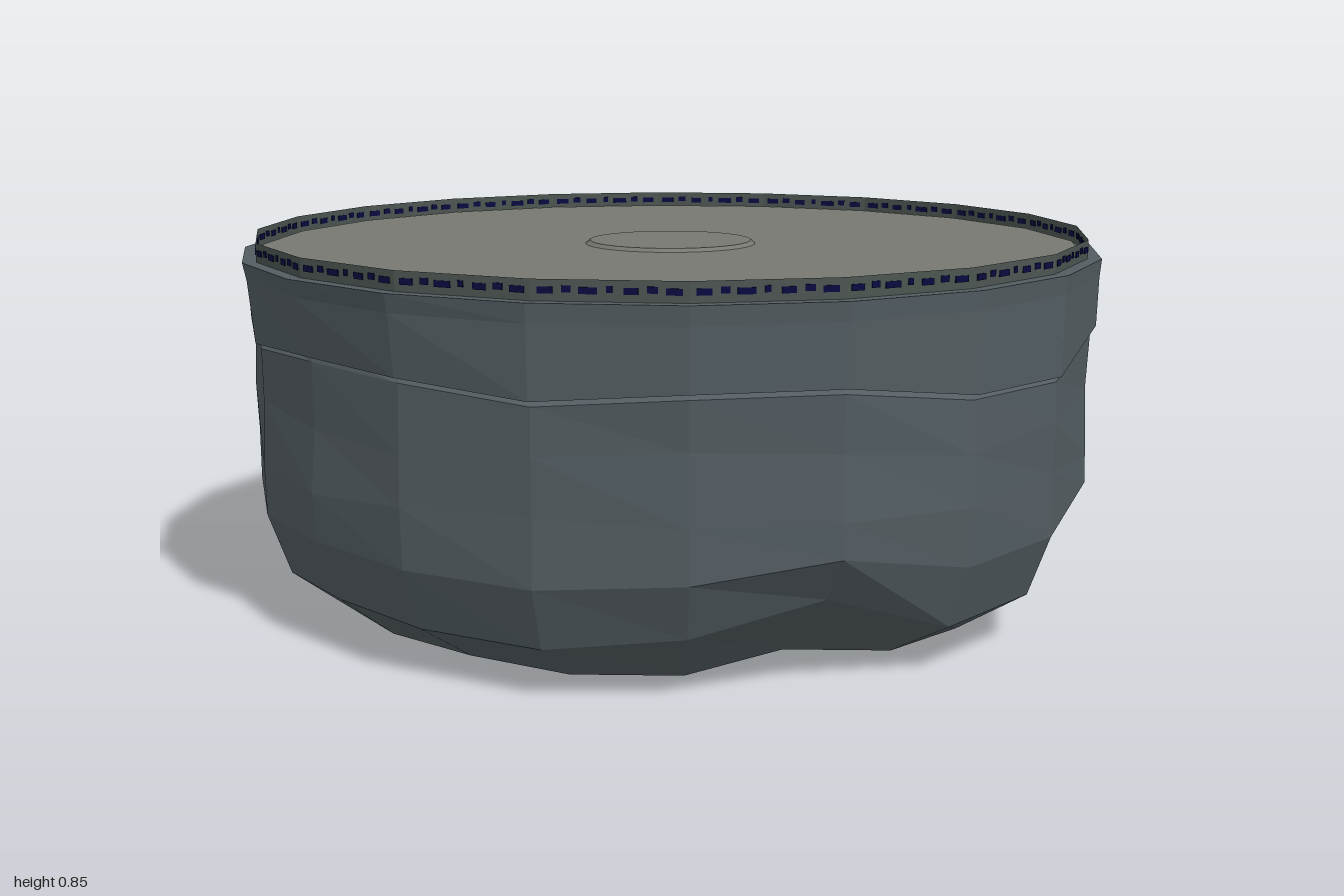
import * as THREE from 'three';

const SIDES = 20;
const STEP = (Math.PI * 2) / SIDES;

// Heights per column, counted from the front (+z) towards +x
const seam = [0.60, 0.595, 0.66, 0.655, 0.62, 0.61, 0.64, 0.675, 0.665, 0.62,
  0.61, 0.64, 0.66, 0.65, 0.63, 0.645, 0.64, 0.62, 0.64, 0.64];
const lowerEdge = [0.105, 0.11, 0.20, 0.16, 0.10, 0.085, 0.12, 0.22, 0.12, 0.09,
  0.10, 0.12, 0.23, 0.13, 0.10, 0.11, 0.11, 0.11, 0.14, 0.20];

// Small repeatable irregularity for the chipped stone
const wobble = (k, n) => Math.sin(k * 12.9898 + n * 78.233) * 0.5 + Math.sin(k * 4.7 + n * 2.3) * 0.5;

// Joins rings of [radius, height], listed from top to bottom, into faceted stone
function stoneFromRings(name, rings, material) {
  const point = (ring, k) => {
    const [r, y] = ring(k % SIDES);
    return [r * Math.sin(k * STEP), y, r * Math.cos(k * STEP)];
  };
  const positions = [];
  for (let i = 0; i < rings.length - 1; i++) {
    for (let k = 0; k < SIDES; k++) {
      const a = point(rings[i], k), b = point(rings[i + 1], k);
      const c = point(rings[i + 1], k + 1), d = point(rings[i], k + 1);
      positions.push(...a, ...b, ...c, ...a, ...c, ...d);
    }
  }
  const geometry = new THREE.BufferGeometry();
  geometry.setAttribute('position', new THREE.Float32BufferAttribute(positions, 3));
  geometry.computeVertexNormals();
  const mesh = new THREE.Mesh(geometry, material);
  mesh.name = name;
  return mesh;
}

export function createModel() {
  const group = new THREE.Group();
  group.name = 'stonePlatform';

  const stone = new THREE.MeshStandardMaterial({ color: 0x525c61 });
  stone.name = 'slate stone';
  stone.flatShading = true;
  const slab = new THREE.MeshStandardMaterial({ color: 0x777870 });
  slab.name = 'warm grey slab';
  slab.flatShading = true;
  const rim = new THREE.MeshStandardMaterial({ color: 0x4c5551 });
  rim.name = 'green grey rim';
  rim.flatShading = true;
  rim.side = THREE.DoubleSide;
  const navy = new THREE.MeshStandardMaterial({ color: 0x0a0a40 });
  navy.name = 'navy marks';

  // The stone is a little narrower on its right side (-x)
  const inset = (k) => 0.03 * Math.max(0, 1 - Math.abs(k - 15) / 2);
  const shoulder = (k) => 0.18 + lowerEdge[k] * 0.6;
  const notch = (k) => Math.max(0, lowerEdge[k] - 0.12);

  // Upper band with an uneven lower lip
  group.add(stoneFromRings('upperBand', [
    () => [0, 0.81],
    () => [0.997, 0.81],
    (k) => [0.993 - inset(k) * 0.3, 0.77],
    (k) => [0.99 - inset(k), seam[k]],
    (k) => [0.94, seam[k] + 0.005],
  ], stone));

  // Main body, undercut and hollowed base
  group.add(stoneFromRings('lowerBody', [
    (k) => [0.94, seam[k] + 0.01],
    (k) => [0.978 - inset(k), seam[k] - 0.012],
    (k) => [0.978 - inset(k) + 0.01 * wobble(k, 1), 0.5 + 0.03 * wobble(k, 2)],
    (k) => [0.98 - inset(k) + 0.01 * wobble(k, 3), 0.38 + 0.03 * wobble(k, 4)],
    (k) => [0.98 - inset(k), shoulder(k)],
    (k) => [0.93 - inset(k) - notch(k) * 0.3, lowerEdge[k]],
    (k) => [0.76 - notch(k) * 0.9 + 0.02 * wobble(k, 5), 0.01 + 0.01 * wobble(k, 6) + notch(k) * 0.2],
    (k) => [0.43, 0.04 + 0.01 * wobble(k, 7)],
    () => [0, 0.06],
  ], stone));

  // Flat top slab
  const top = new THREE.Mesh(new THREE.CircleGeometry(0.955, SIDES), slab);
  top.name = 'topSlab';
  top.rotation.set(-Math.PI / 2, 0, Math.PI / 2);
  top.position.y = 0.816;
  group.add(top);

  // Barely raised round plate in the middle
  const plate = new THREE.Mesh(new THREE.CylinderGeometry(0.19, 0.2, 0.008, 32), slab);
  plate.name = 'centrePlate';
  plate.position.y = 0.82;
  group.add(plate);

  // Thin upright rim around the slab
  const wall = new THREE.Mesh(new THREE.CylinderGeometry(0.966, 0.966, 0.045, SIDES, 1, true), rim);
  wall.name = 'rimWall';
  wall.position.y = 0.8295;
  group.add(wall);

  // Row of small marks, seen on both faces of the rim
  const marks = new THREE.Group();
  marks.name = 'rimMarks';
  const widths = [0.03, 0.018, 0.036, 0.012, 0.028, 0.02, 0.032];
  const apothem = 0.966 * Math.cos(STEP / 2);
  for (let side = 0; side < SIDES; side++) {
    const panel = new THREE.Group();
    panel.name = 'rimMarkPanel';
    panel.rotation.y = (side + 0.5) * STEP;
    widths.forEach((width, i) => {
      const mark = new THREE.Mesh(new THREE.BoxGeometry(width, 0.013, 0.004), navy);
      mark.name = 'rimMark';
      mark.position.set((i - 3) * 0.041, 0.831 + (i % 2) * 0.003, apothem);
      panel.add(mark);
    });
    marks.add(panel);
  }
  group.add(marks);

  return group;
}
